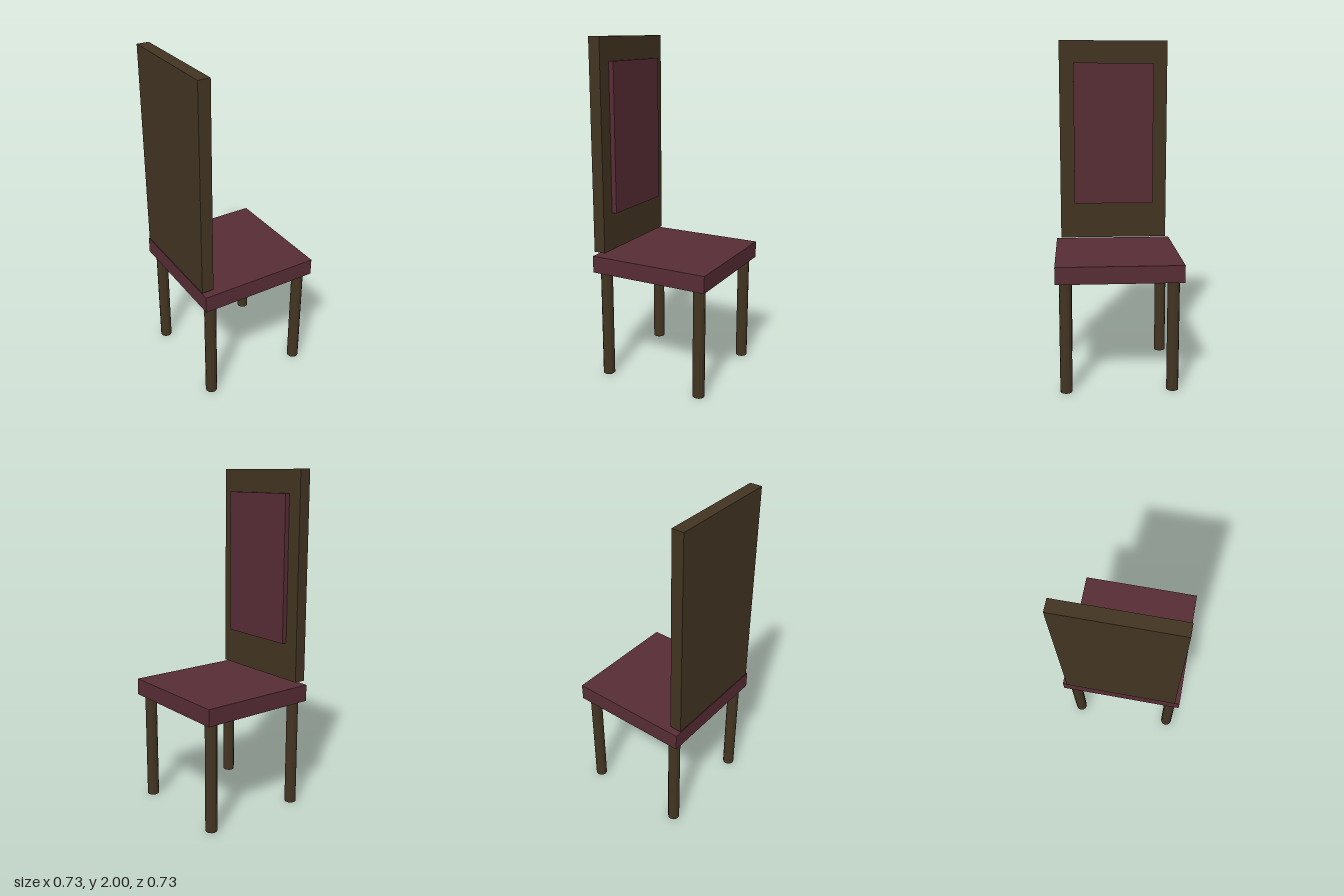
import * as THREE from 'three';

export function createModel() {
  const model = new THREE.Group();
  model.name = 'chair';

  const wood = new THREE.MeshStandardMaterial({ color: 0x423422 });
  wood.name = 'dark wood';
  const fabric = new THREE.MeshStandardMaterial({ color: 0x572c35 });
  fabric.name = 'burgundy upholstery';

  function add(name, geometry, material, x, y, z) {
    const mesh = new THREE.Mesh(geometry, material);
    mesh.name = name;
    mesh.position.set(x, y, z);
    model.add(mesh);
  }

  // Box given by its lower and upper limits on each axis
  function addBox(name, material, [x0, x1], [y0, y1], [z0, z1]) {
    add(name, new THREE.BoxGeometry(x1 - x0, y1 - y0, z1 - z0), material,
      (x0 + x1) / 2, (y0 + y1) / 2, (z0 + z1) / 2);
  }

  // Seat cushion, and a tall back panel floating just above it on the -x side
  addBox('seat', fabric, [-0.36, 0.366], [0.652, 0.752], [-0.363, 0.363]);
  addBox('backPanel', wood, [-0.367, -0.296], [0.77, 2], [-0.334, 0.334]);
  addBox('backCushion', fabric, [-0.296, -0.266], [0.995, 1.865], [-0.247, 0.247]);

  // Four faceted round legs
  const legHeight = 0.652;
  const legGeometry = new THREE.CylinderGeometry(0.035, 0.035, legHeight, 12).toNonIndexed();
  legGeometry.computeVertexNormals();
  for (const [sx, side] of [[-1, 'back'], [1, 'front']]) {
    for (const [sz, end] of [[-1, 'Right'], [1, 'Left']]) {
      add(`${side}${end}Leg`, legGeometry, wood, 0.003 + sx * 0.306, legHeight / 2, sz * 0.306);
    }
  }

  return model;
}
